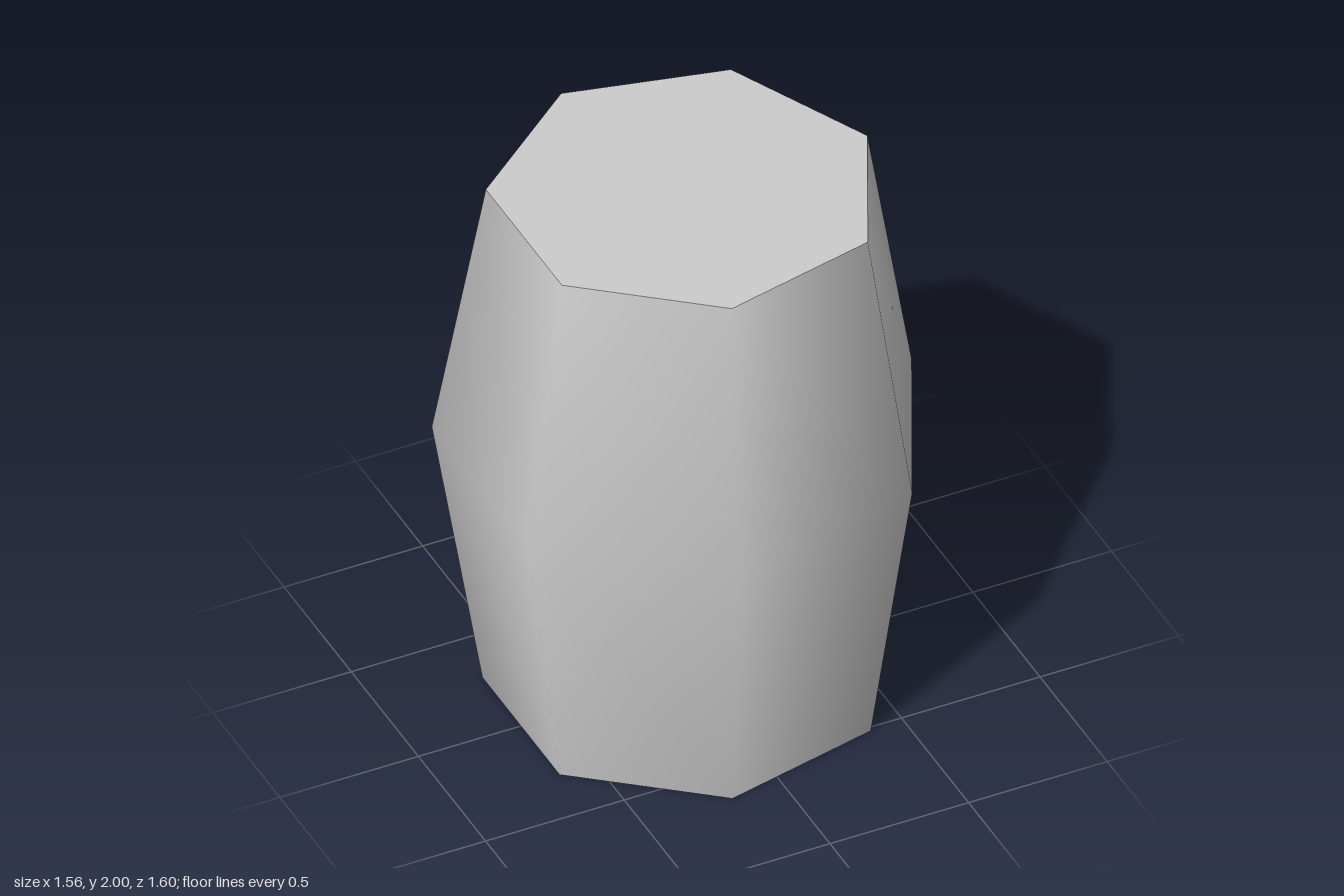
import * as THREE from 'three';

const SIDES = 7;
const SHIFT = -0.0495; // centres the odd-sided outline, per unit of radius
const BOTTOM = 0.663, MIDDLE = 0.82, TOP = 0.652;

export function createModel() {
  const group = new THREE.Group();
  group.name = 'barrel';
  const material = new THREE.MeshStandardMaterial({ color: 0xcccccc });

  const add = (name, geometry) => {
    const mesh = new THREE.Mesh(geometry, material);
    mesh.name = name;
    group.add(mesh);
    return mesh;
  };

  // Smooth-shaded bulging wall, with one corner pointing to +x
  const profile = [[BOTTOM, 0], [MIDDLE, 1.03], [TOP, 2]].map(([r, y]) => new THREE.Vector2(r, y));
  const wall = new THREE.LatheGeometry(profile, SIDES, Math.PI / 2);
  const pos = wall.attributes.position;
  for (let i = 0; i < pos.count; i++) {
    pos.setX(i, pos.getX(i) + SHIFT * Math.hypot(pos.getX(i), pos.getZ(i)));
  }
  add('wall', wall);

  // Flat end caps
  const addCap = (name, radius, y, tilt) => {
    const cap = new THREE.CircleGeometry(radius, SIDES).rotateX(tilt);
    add(name, cap).position.set(SHIFT * radius, y, 0);
  };
  addCap('topCap', TOP, 2, -Math.PI / 2);
  addCap('bottomCap', BOTTOM, 0, Math.PI / 2);

  return group;
}
